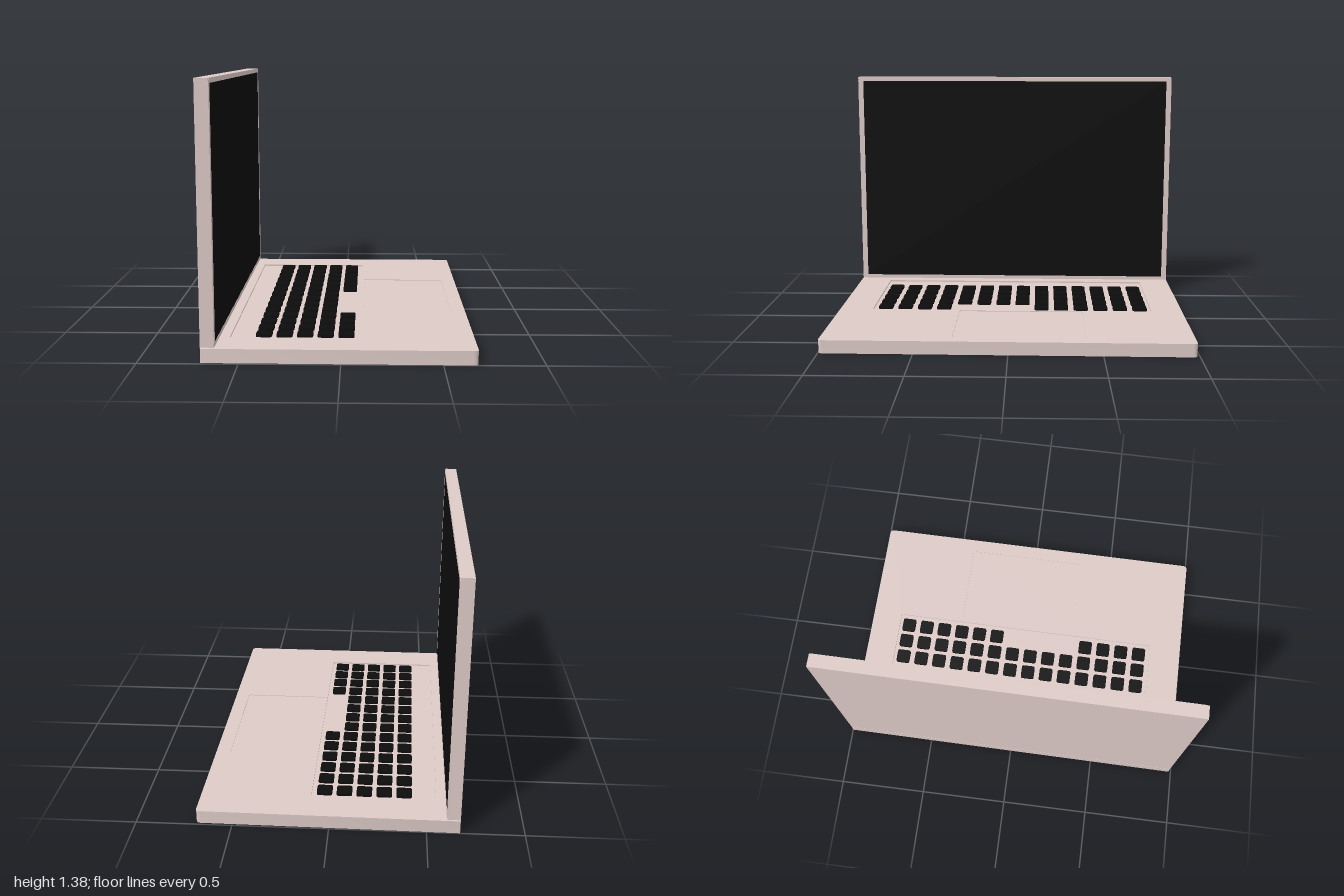
import * as THREE from 'three';
import { toCreasedNormals } from 'three/addons/utils/BufferGeometryUtils.js';

const shell = new THREE.MeshStandardMaterial({ color: 0xdccac6 });
const black = new THREE.MeshStandardMaterial({ color: 0x0c0c0c });

// Rectangle outline with separate corner radii on the low-x and high-x sides
function outline(x0, x1, y0, y1, rLow, rHigh = rLow, Type = THREE.Shape) {
  const s = new Type();
  s.moveTo(x0 + rLow, y0);
  s.lineTo(x1 - rHigh, y0);
  s.quadraticCurveTo(x1, y0, x1, y0 + rHigh);
  s.lineTo(x1, y1 - rHigh);
  s.quadraticCurveTo(x1, y1, x1 - rHigh, y1);
  s.lineTo(x0 + rLow, y1);
  s.quadraticCurveTo(x0, y1, x0, y1 - rLow);
  s.lineTo(x0, y0 + rLow);
  s.quadraticCurveTo(x0, y0, x0 + rLow, y0);
  return s;
}

function extrude(shape, depth) {
  const g = new THREE.ExtrudeGeometry(shape, { depth, bevelEnabled: false, curveSegments: 6 });
  return toCreasedNormals(g, 0.6);
}

// Horizontal slab: shape x is x, shape y is -z
function slab(shape, y0, y1) {
  return extrude(shape, y1 - y0).rotateX(-Math.PI / 2).translate(0, y0, 0);
}

// Upright panel: shape x is -z, shape y is y, thickness along x
function panel(shape, x0, x1) {
  return extrude(shape, x1 - x0).rotateY(Math.PI / 2).translate(x0, 0, 0);
}

export function createModel() {
  const model = new THREE.Group();
  model.name = 'laptop';
  const add = (name, geometry, material, parent = model) => {
    const mesh = new THREE.Mesh(geometry, material);
    mesh.name = name;
    parent.add(mesh);
    return mesh;
  };

  // Base: solid lower body and a top plate cut out for keyboard and trackpad
  const baseOutline = () => outline(-0.68, 0.68, -0.993, 0.993, 0.004, 0.024);
  const well = [-0.56, 0.098, -0.802, 0.815];
  const pad = [0.115, 0.6, -0.293, 0.418];
  const top = baseOutline();
  top.holes.push(outline(...well, 0.006, 0.006, THREE.Path));
  top.holes.push(outline(...pad, 0.012, 0.012, THREE.Path));
  add('baseBody', slab(baseOutline(), 0, 0.064), shell);
  add('baseTopPlate', slab(top, 0.064, 0.072), shell);
  add('trackpad', slab(outline(...pad, 0.012), 0.06, 0.0685), shell);

  // Keyboard: five rows of fourteen, with a gap in the front row
  const keyboard = new THREE.Group();
  keyboard.name = 'keyboard';
  model.add(keyboard);
  const key = slab(outline(-0.041, 0.041, -0.041, 0.041, 0.014), 0.063, 0.076);
  for (let row = 0; row < 5; row++) {
    for (let i = 0; i < 14; i++) {
      if (row === 4 && i >= 6 && i <= 9) continue;
      add('key', key, black, keyboard)
        .position.set(-0.392 + row * 0.1055, 0, -0.753 + i * 0.1143);
    }
  }

  // Lid: square-cornered back, rounded front bezel and the screen
  const lid = new THREE.Group();
  lid.name = 'lid';
  model.add(lid);
  add('lidBack', new THREE.BoxGeometry(0.068, 1.308, 1.98).translate(-0.646, 0.731, 0), shell, lid);
  const bezel = outline(-0.99, 0.99, 0.077, 1.385, 0.024);
  bezel.holes.push(outline(-0.958, 0.958, 0.098, 1.36, 0.002, 0.002, THREE.Path));
  add('bezel', panel(bezel, -0.612, -0.61 + 0.0), shell, lid);
  add('bezelBody', panel(outline(-0.99, 0.99, 0.077, 1.385, 0.024), -0.628, -0.612), shell, lid);
  add('screen', new THREE.BoxGeometry(0.003, 1.262, 1.916).translate(-0.6122, 0.729, 0), black, lid);

  // Hinge strip between base and lid
  add('hinge', new THREE.BoxGeometry(0.04, 0.012, 1.9).translate(-0.648, 0.075, 0), shell);

  // The whole machine sits very slightly turned
  model.rotation.y = -0.0085;
  const group = new THREE.Group();
  group.name = 'laptopModel';
  group.add(model);
  return group;
}
